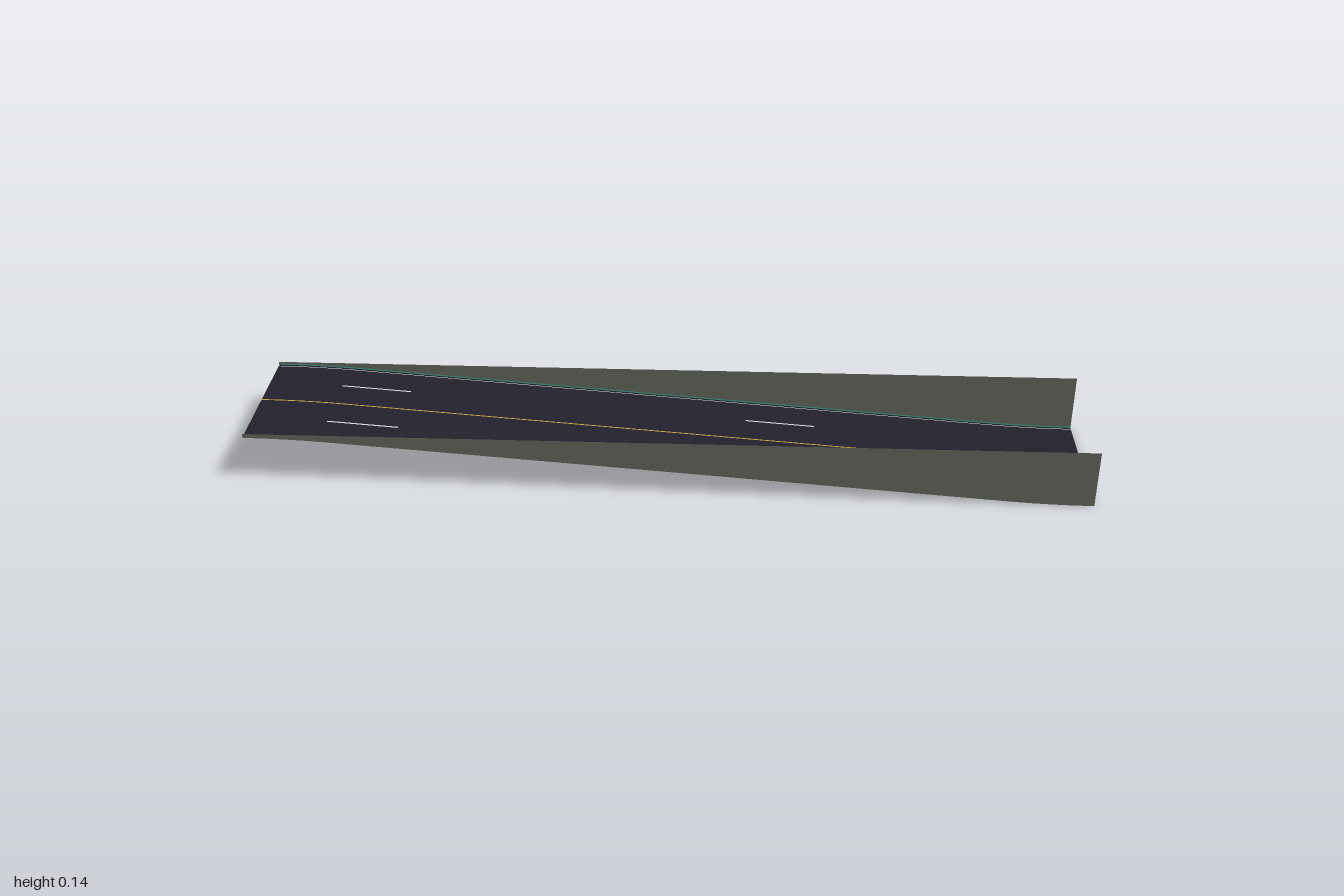
import * as THREE from 'three';

const HALF = 0.18;      // half width of the road
const WALL_TOP = 0.144; // level top of the side walls
const HIGH = 0.1355, LOW = 0.002, EASE = 0.2;
const SLOPE = (HIGH - LOW) / (2 - EASE);

// Road height: a straight slope eased by a parabola at each end
function height(x) {
  const k = SLOPE / (2 * EASE);
  if (x < -1 + EASE) return HIGH - k * (x + 1) ** 2;
  if (x > 1 - EASE) return LOW + k * (1 - x) ** 2;
  return (HIGH + LOW) / 2 - SLOPE * x;
}

function material(name, color, side = THREE.FrontSide) {
  const m = new THREE.MeshStandardMaterial({ color, side });
  m.name = name;
  return m;
}

// Surface swept along x between two edges, each given as x => [y, z]
function sweep(name, mat, edgeA, edgeB, x0 = -1, x1 = 1) {
  const steps = Math.max(4, Math.round((x1 - x0) * 20));
  const pos = [], index = [];
  for (let i = 0; i <= steps; i++) {
    const x = x0 + ((x1 - x0) * i) / steps;
    pos.push(x, ...edgeA(x), x, ...edgeB(x));
    if (i < steps) {
      const a = i * 2;
      index.push(a, a + 1, a + 2, a + 1, a + 3, a + 2);
    }
  }
  const g = new THREE.BufferGeometry();
  g.setAttribute('position', new THREE.Float32BufferAttribute(pos, 3));
  g.setIndex(index);
  g.computeVertexNormals();
  const mesh = new THREE.Mesh(g, mat);
  mesh.name = name;
  return mesh;
}

// Flat marking that follows the road surface
function marking(name, mat, z, width, x0, x1, lift = 0.0006) {
  return sweep(name, mat,
    x => [height(x) + lift, z - width / 2],
    x => [height(x) + lift, z + width / 2], x0, x1);
}

export function createModel() {
  const model = new THREE.Group();
  model.name = 'roadRamp';
  const asphalt = material('asphalt', 0x22212c);
  const curbDark = material('curbDark', 0x1a1a20);
  const concrete = material('concrete', 0x5c6156, THREE.DoubleSide);
  const yellow = material('yellowPaint', 0xc9a545);
  const white = material('whitePaint', 0xd8d8d8);
  const teal = material('tealStrip', 0x3f9a8c, THREE.DoubleSide);

  // Thin road slab
  const steps = 40, profile = [];
  for (let i = 0; i <= steps; i++) {
    const x = -1 + (2 * i) / steps;
    profile.push(new THREE.Vector2(x, height(x)));
  }
  const under = profile.map(p => new THREE.Vector2(p.x, p.y - LOW)).reverse();
  const slabGeo = new THREE.ExtrudeGeometry(new THREE.Shape([...profile, ...under]),
    { depth: HALF * 2, bevelEnabled: false });
  slabGeo.translate(0, 0, -HALF);
  const slab = new THREE.Mesh(slabGeo, asphalt);
  slab.name = 'roadSlab';
  model.add(slab);

  // Centre line
  model.add(marking('centreLine', yellow, 0, 0.004, -1, 1));

  for (const s of [1, -1]) {
    const side = s > 0 ? 'front' : 'back';
    const z = s * HALF;
    // Side wall between the slope and its level top
    model.add(sweep(side + 'Wall', concrete, x => [height(x) - LOW, z * 1.0005], () => [WALL_TOP, z * 1.0005]));
    // Thin strip along the inner foot of the wall
    model.add(sweep(side + 'WallStrip', teal,
      x => [height(x) + 0.001, z - s * 0.0006], x => [height(x) + 0.004, z - s * 0.0006]));
    // Dark gutter and edge line
    model.add(marking(side + 'Gutter', curbDark, s * 0.1772, 0.005, -1, 1));
    model.add(marking(side + 'EdgeLine', white, s * 0.173, 0.0025, -1, 1));
    // Lane dashes
    for (const x of [-0.82, 0.18]) {
      model.add(marking(side + 'LaneDash', white, s * 0.088, 0.005, x, x + 0.17));
    }
  }
  return model;
}
